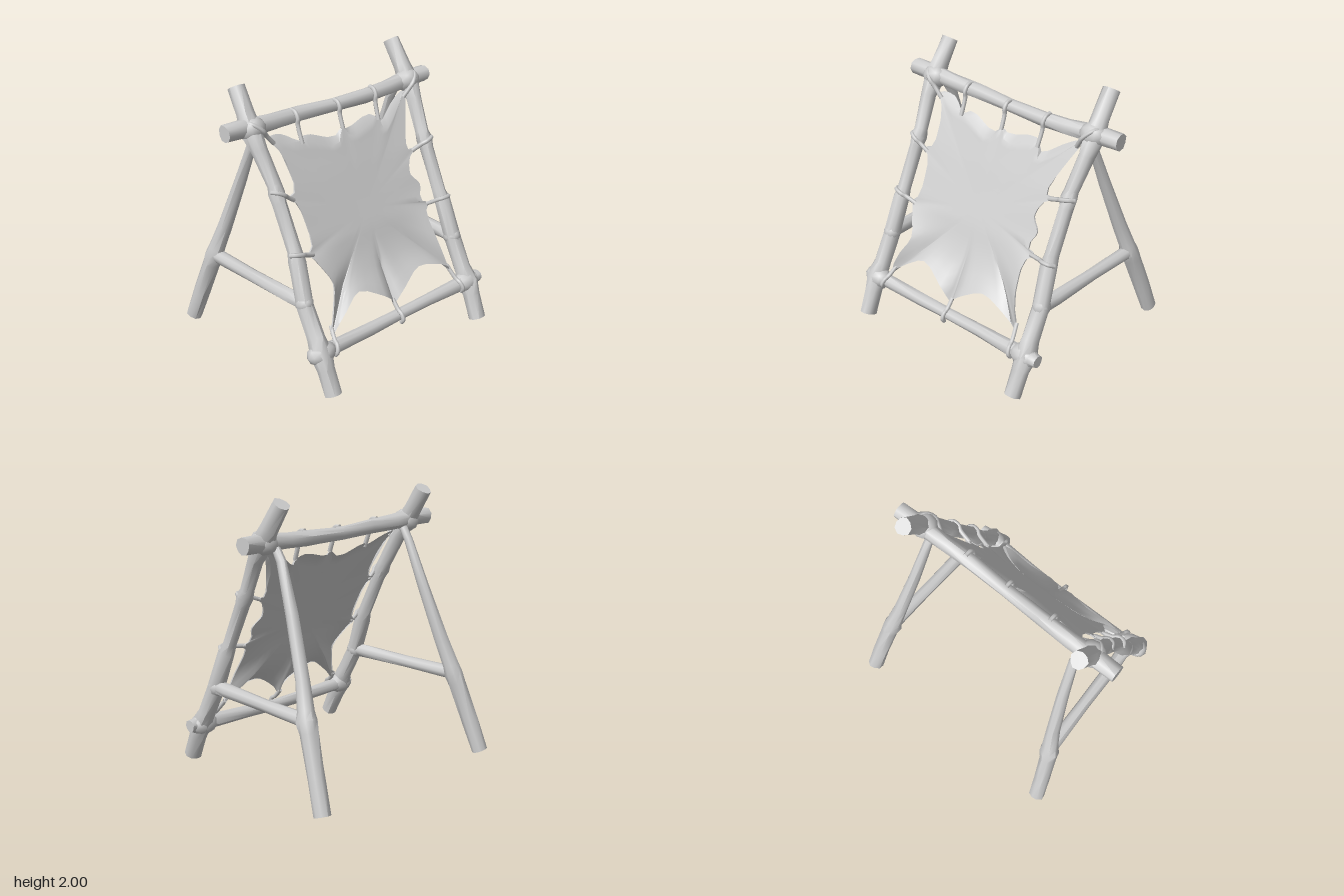
import * as THREE from 'three';
import { mergeVertices, toCreasedNormals } from 'three/addons/utils/BufferGeometryUtils.js';

const V = (x, y, z) => new THREE.Vector3(x, y, z);
const SIDES = 9;

// depth of the leaning front frame at a given height
const FRAME = [[0.03, 0.735], [0.3, 0.61], [0.62, 0.435], [0.9, 0.335], [1.3, 0.145], [1.6, -0.01], [1.72, -0.085], [1.97, -0.25]];
function frameZ(y) {
  let i = 0;
  while (i < FRAME.length - 2 && y > FRAME[i + 1][0]) i++;
  const [y0, z0] = FRAME[i], [y1, z1] = FRAME[i + 1];
  return z0 + (z1 - z0) * (y - y0) / (y1 - y0);
}
const NORMAL = V(0, 0.42, 0.91).normalize();

// rough pole through stations [x, y, z, radius], closed at both ends
function poleGeometry(stations, seed) {
  const p = stations.map(s => V(s[0], s[1], s[2]));
  const pos = [], idx = [], n = p.length;
  p.forEach((c, i) => {
    const t = p[Math.min(i + 1, n - 1)].clone().sub(p[Math.max(i - 1, 0)]).normalize();
    const ref = Math.abs(t.x) > 0.8 ? V(0, 0, 1) : V(1, 0, 0);
    const a = ref.sub(t.clone().multiplyScalar(ref.dot(t))).normalize();
    const b = t.clone().cross(a);
    for (let k = 0; k < SIDES; k++) {
      const w = k / SIDES * Math.PI * 2;
      const r = stations[i][3] * (1 + 0.06 * Math.sin(k * 2.3 + i * 1.7 + seed));
      const q = c.clone().addScaledVector(a, Math.cos(w) * r).addScaledVector(b, Math.sin(w) * r);
      pos.push(q.x, q.y, q.z);
    }
  });
  for (let i = 0; i < n - 1; i++) for (let k = 0; k < SIDES; k++) {
    const a = i * SIDES + k, b = i * SIDES + (k + 1) % SIDES;
    idx.push(a, b, b + SIDES, a, b + SIDES, a + SIDES);
  }
  [0, n - 1].forEach((i, end) => {
    const c = pos.length / 3, o = i * SIDES;
    pos.push(p[i].x, p[i].y, p[i].z);
    for (let k = 0; k < SIDES; k++) {
      const l = (k + 1) % SIDES;
      if (end) idx.push(c, o + k, o + l); else idx.push(c, o + l, o + k);
    }
  });
  const g = new THREE.BufferGeometry();
  g.setAttribute('position', new THREE.Float32BufferAttribute(pos, 3));
  g.setIndex(idx);
  return toCreasedNormals(g, 0.9);
}

// cloth outline [x, y, edge], clockwise; edge 1 = free edge, 0 = tied tip
const OUTLINE = [
  [-0.62, 1.62, 0], [-0.5, 1.57, 1], [-0.37, 1.55, 0], [-0.26, 1.51, 1], [-0.13, 1.46, 1], [0, 1.55, 0],
  [0.1, 1.48, 1], [0.22, 1.51, 1], [0.33, 1.54, 0], [0.4, 1.46, 1], [0.5, 1.53, 1], [0.65, 1.64, 0],
  [0.55, 1.42, 1], [0.51, 1.32, 1], [0.57, 1.27, 0], [0.48, 1.18, 1], [0.47, 1.12, 1], [0.53, 1.04, 1],
  [0.5, 0.97, 1], [0.56, 0.9, 0], [0.5, 0.8, 1], [0.52, 0.65, 1], [0.58, 0.42, 0], [0.48, 0.51, 1],
  [0.27, 0.56, 1], [0.1, 0.48, 1], [0, 0.38, 0], [-0.1, 0.48, 1], [-0.3, 0.575, 1], [-0.45, 0.5, 1],
  [-0.59, 0.37, 0], [-0.54, 0.55, 1], [-0.48, 0.68, 1], [-0.53, 0.8, 1], [-0.58, 0.89, 0], [-0.53, 1.0, 1],
  [-0.54, 1.15, 1], [-0.61, 1.25, 0], [-0.53, 1.33, 1], [-0.54, 1.46, 1]];

function clothGeometry() {
  const curve = new THREE.CatmullRomCurve3(OUTLINE.map(o => V(...o)), true, 'centripetal');
  const M = OUTLINE.length * 3, RINGS = 10, cy = 1.02;
  const edge = Array.from({ length: M }, (_, k) => curve.getPoint(k / M));
  const pos = [0, cy, frameZ(cy) - 0.01], idx = [];
  for (let r = 1; r <= RINGS; r++) {
    const f = r / RINGS, m = f * f;
    for (const e of edge) {
      // inner rings relax towards an even square, folds run out to the tips
      const a = Math.atan2(e.y - cy, e.x), c = Math.cos(a), s = Math.sin(a);
      const box = 0.5 / Math.max(Math.abs(c), Math.abs(s));
      const y = cy + f * ((e.y - cy) * m + s * box * (1 - m));
      // the lower edge flares forward
      const flare = 0.065 * e.z * f ** 3 * THREE.MathUtils.smoothstep(cy - y, 0, 0.45);
      pos.push(f * (e.x * m + c * box * (1 - m)), y, frameZ(y) - 0.01 * (1 - m) + flare);
    }
  }
  // hem folded back along the upper edge
  edge.forEach((e, k) => {
    const o = (1 + (RINGS - 1) * M + k) * 3;
    const h = Math.max(0, e.z) * THREE.MathUtils.smoothstep(e.y, 1.35, 1.45);
    pos.push(pos[o], pos[o + 1] + 0.05 * h, pos[o + 2] - 0.012 - 0.045 * h);
  });
  for (let k = 0; k < M; k++) {
    const l = (k + 1) % M;
    idx.push(0, 1 + l, 1 + k);
    for (let r = 0; r < RINGS; r++) {
      const a = 1 + r * M + k, b = 1 + r * M + l;
      idx.push(a, b, b + M, a, b + M, a + M);
    }
  }
  const g = new THREE.BufferGeometry();
  g.setAttribute('position', new THREE.Float32BufferAttribute(pos, 3));
  g.setIndex(idx);
  g.computeVertexNormals();
  return toCreasedNormals(g, 0.8);
}

// cord from a cloth tip, laid over the front of a pole
function cordGeometry([px, py, cx, cy, R]) {
  const P = V(px, py, frameZ(py)), C = V(cx, cy, frameZ(cy));
  const u = C.clone().sub(P).normalize();
  const around = (n, t) => C.clone().addScaledVector(NORMAL, n * R).addScaledVector(u, t * R);
  const pts = [P.addScaledVector(u, -0.03), around(0.5, -1), around(0.9, -0.4), around(0.85, 0.5), around(0.2, 0.95)];
  return new THREE.TubeGeometry(new THREE.CatmullRomCurve3(pts), 20, 0.016, 6);
}

export function createModel() {
  const model = new THREE.Group();
  const wood = new THREE.MeshStandardMaterial({ color: 0xcccccc, side: THREE.DoubleSide });
  wood.name = 'pale grey';
  const add = (name, geometry) => {
    const mesh = new THREE.Mesh(geometry, wood);
    mesh.name = name;
    model.add(mesh);
    return mesh;
  };
  // lumpy lashing where poles cross
  const joint = (name, x, y, z, sx, sy, sz) => {
    const g = new THREE.IcosahedronGeometry(1, 1);
    g.deleteAttribute('normal');
    g.deleteAttribute('uv');
    const ball = mergeVertices(g);
    ball.computeVertexNormals();
    const m = add(name, ball);
    m.position.set(x, y, z);
    m.scale.set(sx, sy, sz);
    m.rotation.x = -0.45;
  };

  for (const [side, s] of [['left', 1], ['right', -1]]) {
    // leaning front post with branch knots
    const post = [[0.715, 0.035, 0.06], [0.72, 0.2, 0.062], [0.725, 0.3, 0.078], [0.715, 0.4, 0.062], [0.715, 0.6, 0.06],
      [0.695, 0.88, 0.06], [0.69, 0.95, 0.05], [0.69, 1.25, 0.05], [0.69, 1.31, 0.058], [0.69, 1.36, 0.05],
      [0.715, 1.58, 0.056], [0.72, 1.7, 0.075], [0.715, 1.8, 0.062], [0.71, s > 0 ? 1.97 : 1.95, 0.06]];
    add(side + 'FrontPost', poleGeometry(post.map(([x, y, r]) => [x * s, y, frameZ(y), r]), s));
    // splayed rear leg, thin at the top
    const leg = [[0.635, 1.68, -0.1, 0.03], [0.635, 1.58, -0.165, 0.034], [0.665, 1.25, -0.29, 0.042],
      [0.715, 0.85, -0.435, 0.05], [0.75, 0.66, -0.5, 0.06], [0.76, 0.6, -0.52, 0.072], [0.77, 0.53, -0.55, 0.062],
      [0.805, 0.25, -0.65, 0.06], [0.83, 0.03, -0.73, 0.06]];
    add(side + 'RearLeg', poleGeometry(leg.map(([x, y, z, r]) => [x * s, y, z, r]), s + 2));
    // horizontal side brace
    const brace = [[0.715, 0.615, 0.44, 0.05], [0.725, 0.612, 0.3, 0.05], [0.74, 0.605, -0.1, 0.045], [0.76, 0.603, -0.52, 0.05]];
    add(side + 'SideBrace', poleGeometry(brace.map(([x, y, z, r]) => [x * s, y, z, r]), s + 4));
    // lashings
    joint(side + 'TopLashing', 0.71 * s, 1.705, -0.078, 0.1, 0.085, 0.092);
    joint(side + 'BottomLashing', 0.71 * s, 0.3, 0.605, 0.115, 0.08, 0.08);
    joint(side + 'BraceLashing', 0.715 * s, 0.615, 0.435, 0.063, 0.07, 0.07);
  }

  // cross bars
  add('topBar', poleGeometry([[-0.92, 1.72, -0.09, 0.06], [-0.76, 1.72, -0.09, 0.064], [-0.55, 1.705, -0.09, 0.058],
    [-0.3, 1.7, -0.09, 0.052], [0, 1.685, -0.085, 0.047], [0.3, 1.685, -0.075, 0.054], [0.5, 1.69, -0.08, 0.054],
    [0.72, 1.705, -0.09, 0.062], [0.91, 1.705, -0.1, 0.06]], 1));
  add('bottomBar', poleGeometry([[-0.79, 0.3, 0.6, 0.052], [-0.6, 0.295, 0.595, 0.05], [-0.25, 0.288, 0.595, 0.045],
    [0, 0.285, 0.59, 0.043], [0.3, 0.293, 0.595, 0.046], [0.6, 0.3, 0.605, 0.052], [0.75, 0.305, 0.61, 0.058],
    [0.83, 0.305, 0.61, 0.045]], 3));

  // stretched hide and its cords: tip x, y, pole x, y, pole radius
  add('stretchedHide', clothGeometry());
  [[-0.61, 1.61, -0.71, 1.7, 0.085], [-0.37, 1.56, -0.37, 1.7, 0.055], [0, 1.57, 0, 1.685, 0.05],
    [0.33, 1.55, 0.34, 1.69, 0.056], [0.64, 1.63, 0.71, 1.7, 0.085], [0.57, 1.27, 0.69, 1.3, 0.058],
    [0.56, 0.9, 0.69, 0.9, 0.058], [0.58, 0.43, 0.61, 0.3, 0.054], [0, 0.38, 0, 0.29, 0.046],
    [-0.58, 0.4, -0.61, 0.3, 0.052], [-0.58, 0.89, -0.69, 0.92, 0.058], [-0.6, 1.25, -0.69, 1.3, 0.058],
  ].forEach(c => add('cord', cordGeometry(c)));

  return model;
}
